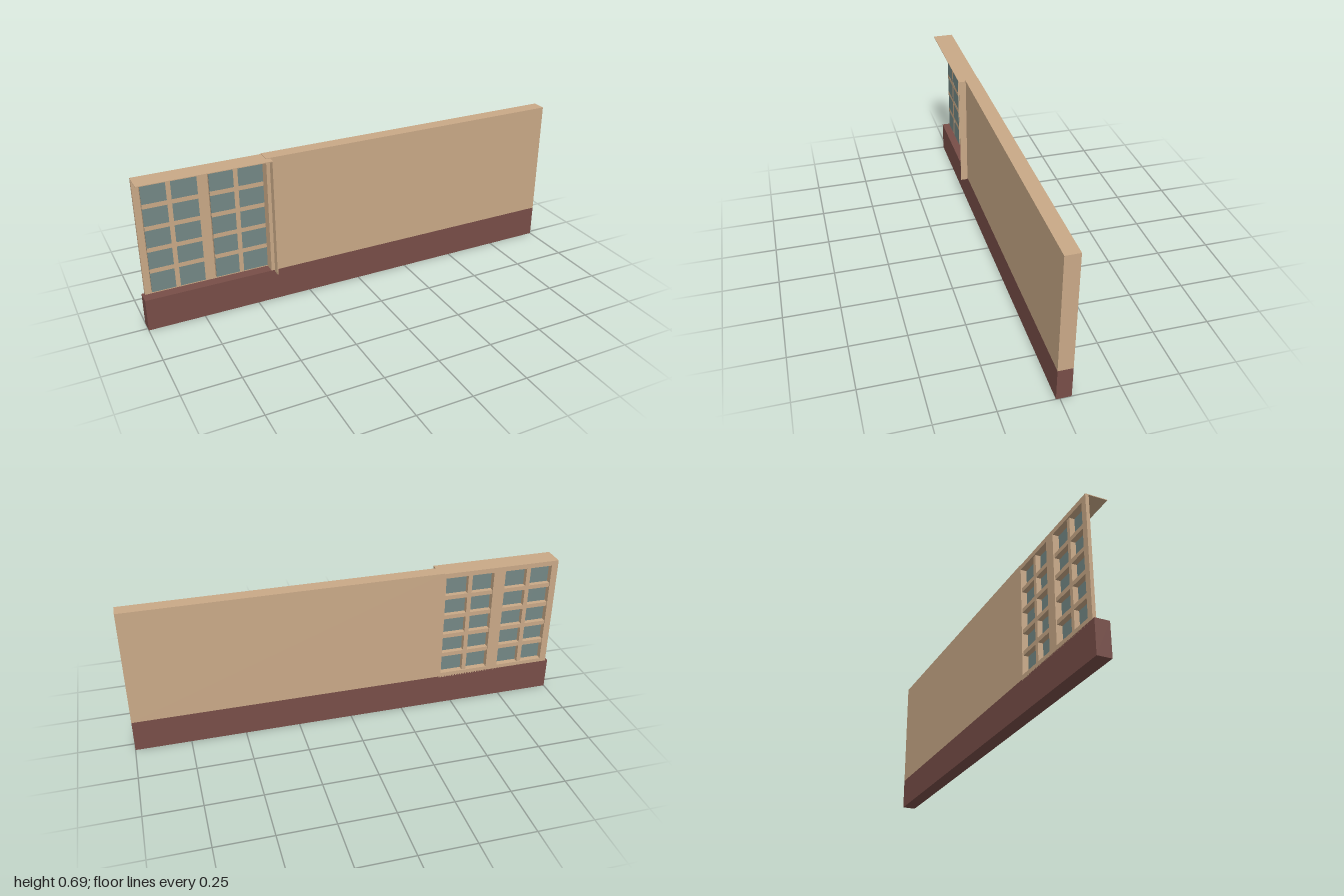
import * as THREE from 'three';

export function createModel() {
  const model = new THREE.Group();
  const plaster = new THREE.MeshStandardMaterial({ color: 0xc9a987 });
  plaster.name = 'tan plaster';
  const plinth = new THREE.MeshStandardMaterial({ color: 0x784e48 });
  plinth.name = 'dark red plinth';
  const glass = new THREE.MeshStandardMaterial({ color: 0x748885 });
  glass.name = 'grey green glass';

  // Box given by its limits on each axis
  function box(name, material, [x0, x1], [y0, y1], [z0, z1], parent = model) {
    const mesh = new THREE.Mesh(new THREE.BoxGeometry(x1 - x0, y1 - y0, z1 - z0), material);
    mesh.position.set((x0 + x1) / 2, (y0 + y1) / 2, (z0 + z1) / 2);
    mesh.name = name;
    parent.add(mesh);
  }

  // Wall on its plinth
  const depth = [-0.048, 0.016];
  box('plinth', plinth, [-1, 1], [0, 0.148], depth);
  box('wall', plaster, [-0.432, 1], [0.148, 0.69], depth);

  // Thin window panel with one opening per leaf
  const leaves = [[-0.96, -0.725], [-0.675, -0.438]];
  const low = 0.163, high = 0.667;
  const rect = (path, x0, x1, y0, y1) =>
    path.moveTo(x0, y0).lineTo(x1, y0).lineTo(x1, y1).lineTo(x0, y1).closePath();
  const outline = new THREE.Shape();
  rect(outline, -0.988, -0.432, 0.142, 0.685);
  for (const [x0, x1] of leaves) {
    const hole = new THREE.Path();
    rect(hole, x0 + 0.003, x1 - 0.003, low + 0.003, high - 0.003);
    outline.holes.push(hole);
  }
  const panel = new THREE.Mesh(
    new THREE.ExtrudeGeometry(outline, { depth: 0.015, bevelEnabled: false }), plaster);
  panel.position.z = -0.048;
  panel.name = 'windowPanel';
  model.add(panel);

  // Overhanging head board and the side board against the wall
  box('headBoard', plaster, [-0.988, -0.413], [0.684, 0.687], [-0.048, 0.049]);
  box('sideBoard', plaster, [-0.416, -0.413], [0.14, 0.685], [0.016, 0.049]);

  // Window leaves: rim, pane and glazing bars
  for (const [x0, x1] of leaves) {
    const leaf = new THREE.Group();
    leaf.name = 'windowLeaf';
    model.add(leaf);
    const rimZ = [-0.034, -0.016], barZ = [-0.043, -0.015], t = 0.003;
    for (const x of [x0, x1 - t]) box('rimSide', plaster, [x, x + t], [low, high], rimZ, leaf);
    for (const y of [low, high - t]) box('rimRail', plaster, [x0 + t, x1 - t], [y, y + t], rimZ, leaf);
    box('pane', glass, [x0, x1], [low, high], [-0.02, -0.0155], leaf);
    const mid = (x0 + x1) / 2 - 0.003;
    box('uprightBar', plaster, [mid - 0.01, mid + 0.01], [low, high], barZ, leaf);
    for (let i = 0; i < 4; i++) {
      const y = 0.264 + i * 0.1;
      box('crossBar', plaster, [x0, x1], [y - 0.01, y + 0.01], barZ, leaf);
    }
  }
  return model;
}
